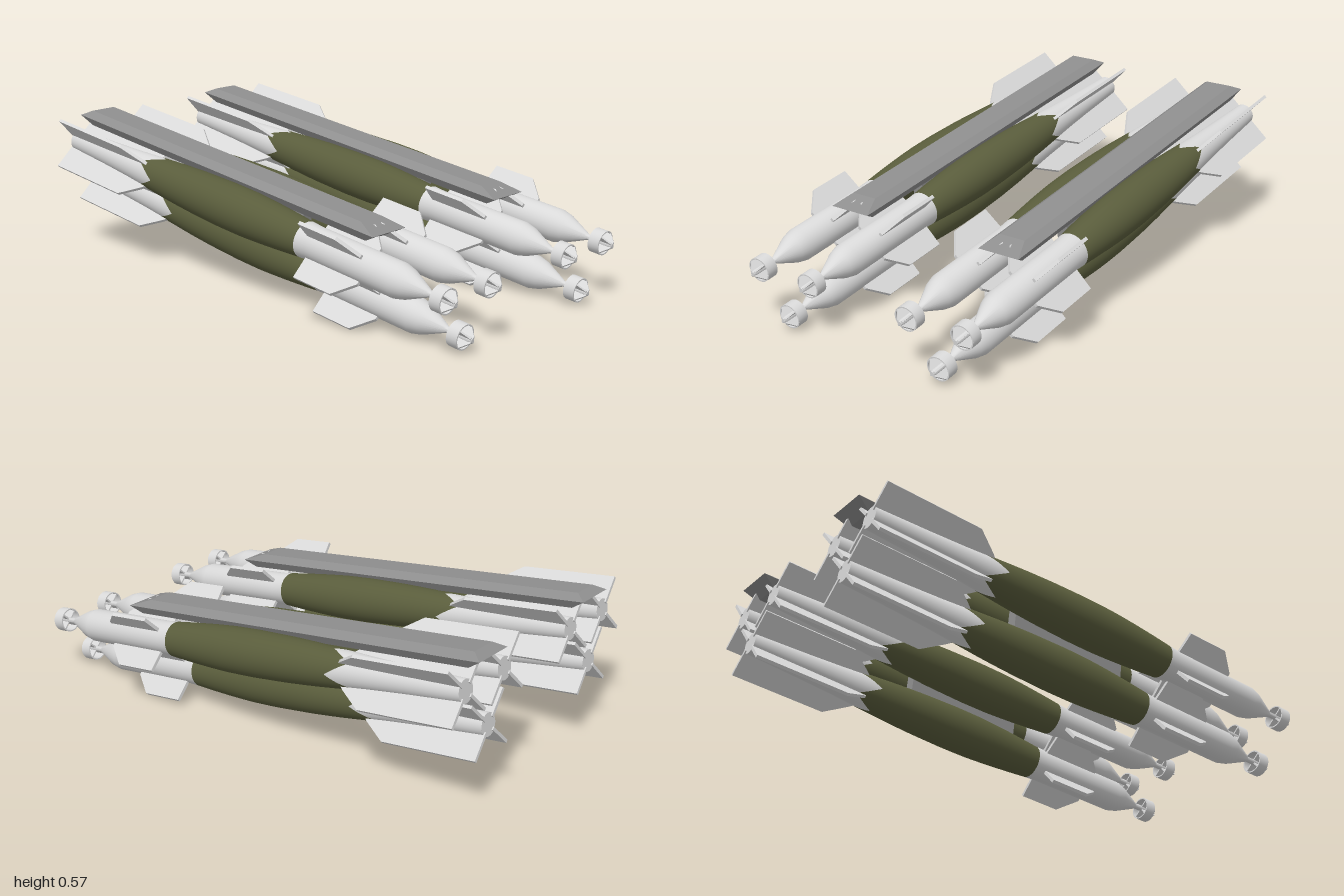
import * as THREE from 'three';
import { toCreasedNormals } from 'three/addons/utils/BufferGeometryUtils.js';
import { ConvexGeometry } from 'three/addons/geometries/ConvexGeometry.js';

const TILT = 0.122;
const SEG = 48;

const mat = (name, color) => {
  const m = new THREE.MeshStandardMaterial({ color });
  m.name = name;
  return m;
};

const mesh = (name, geometry, material) => {
  const m = new THREE.Mesh(geometry, material);
  m.name = name;
  return m;
};

// Body radius along the bomb axis
const PROFILE = [
  [-1.02, 0.042], [-0.8, 0.051], [-0.65, 0.059], [-0.5, 0.07], [-0.4, 0.077], [-0.28, 0.083],
  [-0.12, 0.087], [0, 0.086], [0.1, 0.081], [0.2, 0.074], [0.283, 0.067],
];
function radiusAt(x) {
  for (let i = 1; i < PROFILE.length; i++) {
    const [x0, r0] = PROFILE[i - 1], [x1, r1] = PROFILE[i];
    if (x <= x1) return r0 + (r1 - r0) * (x - x0) / (x1 - x0);
  }
  return PROFILE[PROFILE.length - 1][1];
}

// Paint line between casing and tail: four points reaching back under the fins
function paintLine(a) {
  const q = (a / (Math.PI / 2)) % 1;
  return -0.485 - 0.095 * (1 - Math.abs(2 * q - 1));
}

// Skin of the body between two lines that may vary with the angle
function skin(startAt, endAt, steps) {
  const pos = [], index = [];
  for (let i = 0; i <= steps; i++) {
    for (let j = 0; j < SEG; j++) {
      const a = j / SEG * Math.PI * 2;
      const x = THREE.MathUtils.lerp(startAt(a), endAt(a), i / steps);
      const r = radiusAt(x);
      pos.push(x, Math.cos(a) * r, Math.sin(a) * r);
      if (i < steps) {
        const k = (j + 1) % SEG, p = i * SEG + j, q = i * SEG + k;
        index.push(p, q, p + SEG, q, q + SEG, p + SEG);
      }
    }
  }
  const g = new THREE.BufferGeometry();
  g.setAttribute('position', new THREE.Float32BufferAttribute(pos, 3));
  g.setIndex(index);
  g.computeVertexNormals();
  return g;
}

// Turned part along x, from [x, radius] points
function turned(points, seg = 32) {
  const g = new THREE.LatheGeometry(points.map(([x, r]) => new THREE.Vector2(r, x)), seg);
  g.rotateZ(-Math.PI / 2);
  return toCreasedNormals(g, 0.5);
}

// Flat plate in the x / radius plane
function plate(points, thickness) {
  const shape = new THREE.Shape(points.map(([x, r]) => new THREE.Vector2(x, r)));
  const g = new THREE.ExtrudeGeometry(shape, { depth: thickness, bevelEnabled: false });
  return g.translate(0, 0, -thickness / 2);
}

export function createModel() {
  const pale = mat('pale grey', 0xd9d9d9);
  const olive = mat('olive green', 0x5a5d3c);
  const grey = mat('rack grey', 0x8e8e8e);

  const casing = skin(paintLine, () => 0.283, 20);
  const tail = skin(() => -1.02, paintLine, 10);
  const tailCap = turned([[-1.02, 0], [-1.02, 0.042]]);
  const nose = turned([
    [0.283, 0.067], [0.33, 0.064], [0.72, 0.064], [0.76, 0.054], [0.845, 0.016], [0.855, 0.011],
    [0.95, 0.011], [0.962, 0.008], [0.962, 0],
  ]);
  const ring = turned([
    [0.885, 0.042], [0.885, 0.047], [0.93, 0.047], [0.93, 0.042], [0.885, 0.042],
  ], 24);
  const vane = plate([[0.888, 0], [0.888, 0.044], [0.93, 0.044], [0.96, 0.014], [0.96, 0]], 0.006);
  const frontFin = plate([[0.33, 0.05], [0.335, 0.146], [0.51, 0.146], [0.585, 0.075], [0.585, 0.05]], 0.013);
  const rearFin = plate([
    [-1.025, 0.03], [-1.025, 0.138], [-0.64, 0.138], [-0.555, 0.08], [-0.53, 0.06], [-0.62, 0.045],
  ], 0.012);

  function bomb(name) {
    const g = new THREE.Group();
    g.name = name;
    g.add(
      mesh('casing', casing, olive), mesh('tailBody', tail, pale), mesh('tailCap', tailCap, pale),
      mesh('noseBody', nose, pale), mesh('noseRing', ring, pale),
    );
    for (let i = 0; i < 4; i++) {
      for (const [part, geo] of [['frontFin', frontFin], ['rearFin', rearFin], ['noseVane', vane]]) {
        const m = mesh(part, geo, pale);
        m.rotation.x = Math.PI / 4 + i * Math.PI / 2;
        g.add(m);
      }
    }
    return g;
  }

  // Rack beam: bevelled bar from three stacked rectangles
  const corners = [];
  for (const [x0, x1, y, w] of [
    [-1.0, 0.51, 0.392, 0.066], [-1.058, 0.557, 0.424, 0.085], [-1.02, 0.47, 0.447, 0.053],
  ]) {
    for (const x of [x0, x1]) for (const z of [-w, w]) corners.push(new THREE.Vector3(x, y, z));
  }
  const beam = new ConvexGeometry(corners);
  const hanger = new THREE.BoxGeometry(0.5, 0.18, 0.045).translate(-0.08, 0.32, 0);

  function rack(name, z) {
    const g = new THREE.Group();
    g.name = name;
    g.add(mesh('rackBeam', beam, grey), mesh('hanger', hanger, grey));
    for (const [part, y, dz] of [
      ['lowerBomb', 0.172, 0], ['leftBomb', 0.332, -0.117], ['rightBomb', 0.332, 0.117],
    ]) {
      const b = bomb(part);
      b.position.set(0, y, dz);
      g.add(b);
    }
    g.position.z = z;
    g.rotation.z = -TILT;
    return g;
  }

  const model = new THREE.Group();
  model.name = 'bombRacks';
  model.add(rack('frontRack', 0.338), rack('rearRack', -0.338));
  return model;
}
